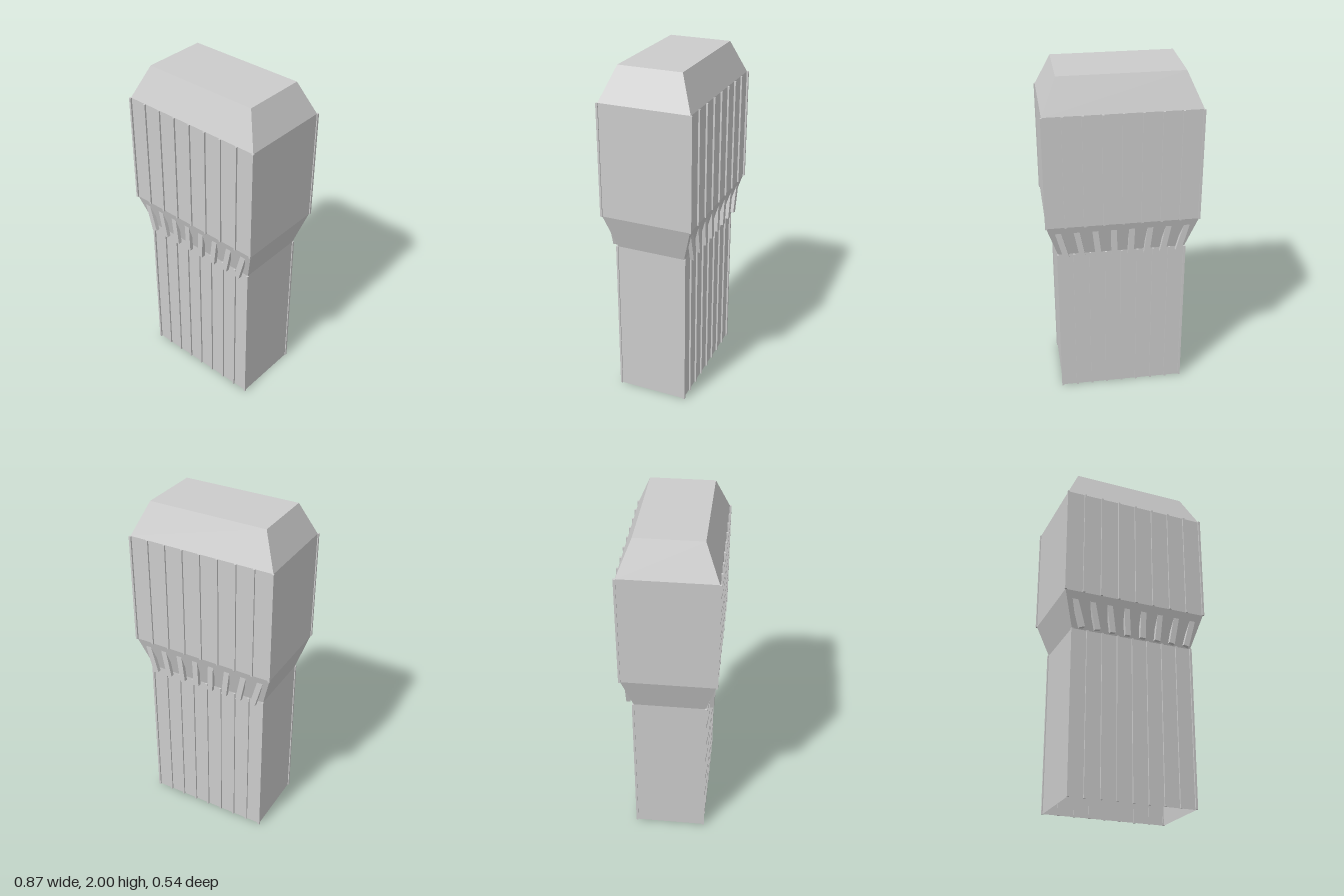
import * as THREE from 'three';

const material = new THREE.MeshStandardMaterial({ color: 0xcccccc, flatShading: true, side: THREE.DoubleSide });

// Rectangular cross-sections from the open foot to the roof: [y, half width, half depth]
const SECTIONS = [
  [0, 0.367, 0.203],
  [0.95, 0.367, 0.203],
  [1.155, 0.43, 0.262],
  [1.81, 0.43, 0.262],
  [2, 0.345, 0.183],
];

// Shell: four walls per section pair plus a flat roof, open underneath
function shellGeometry() {
  const corners = [[1, 1], [1, -1], [-1, -1], [-1, 1]];
  const positions = [];
  const point = (s, c) => [corners[c % 4][0] * s[1], s[0], corners[c % 4][1] * s[2]];
  const quad = (a, b, c, d) => positions.push(...a, ...b, ...c, ...a, ...c, ...d);
  for (let i = 0; i < SECTIONS.length - 1; i++) {
    const low = SECTIONS[i], high = SECTIONS[i + 1];
    for (let c = 0; c < 4; c++) quad(point(low, c), point(low, c + 1), point(high, c + 1), point(high, c));
  }
  const top = SECTIONS[SECTIONS.length - 1];
  quad(point(top, 0), point(top, 1), point(top, 2), point(top, 3));
  const geometry = new THREE.BufferGeometry();
  geometry.setAttribute('position', new THREE.Float32BufferAttribute(positions, 3));
  geometry.computeVertexNormals();
  return geometry;
}

function addBox(parent, name, size, position, tilt = 0) {
  const mesh = new THREE.Mesh(new THREE.BoxGeometry(...size), material);
  mesh.name = name;
  mesh.position.set(...position);
  mesh.rotation.z = tilt;
  parent.add(mesh);
}

// Row of nine thin vertical ribs on one face
function addRibs(parent, name, section, yTop, side) {
  const [y, halfWidth, halfDepth] = section;
  for (let i = 0; i < 9; i++) {
    const x = halfWidth * (i / 4 - 1);
    addBox(parent, name, [0.012, yTop - y, 0.012], [x, (y + yTop) / 2, side * (halfDepth + 0.004)]);
  }
}

// Eight leaning brackets below the overhang, set between the ribs
function addBrackets(parent, side) {
  const low = SECTIONS[1], high = SECTIONS[2];
  const rise = high[0] - low[0];
  for (let i = 0; i < 8; i++) {
    const t = (i - 3.5) / 4;
    const run = t * (high[1] - low[1]);
    addBox(parent, 'bracket', [0.033, Math.hypot(rise, run), 0.023],
      [t * (low[1] + high[1]) / 2, (low[0] + high[0]) / 2 - 0.004, side * 0.238], -Math.atan2(run, rise));
  }
}

export function createModel() {
  const model = new THREE.Group();
  model.name = 'tower';

  const shell = new THREE.Mesh(shellGeometry(), material);
  shell.name = 'towerShell';
  model.add(shell);

  for (const side of [1, -1]) {
    const facade = new THREE.Group();
    facade.name = side > 0 ? 'frontFacade' : 'backFacade';
    addRibs(facade, 'lowerRib', SECTIONS[0], 0.95, side);
    addRibs(facade, 'upperRib', SECTIONS[2], 1.81, side);
    addBrackets(facade, side);
    model.add(facade);
  }
  return model;
}
